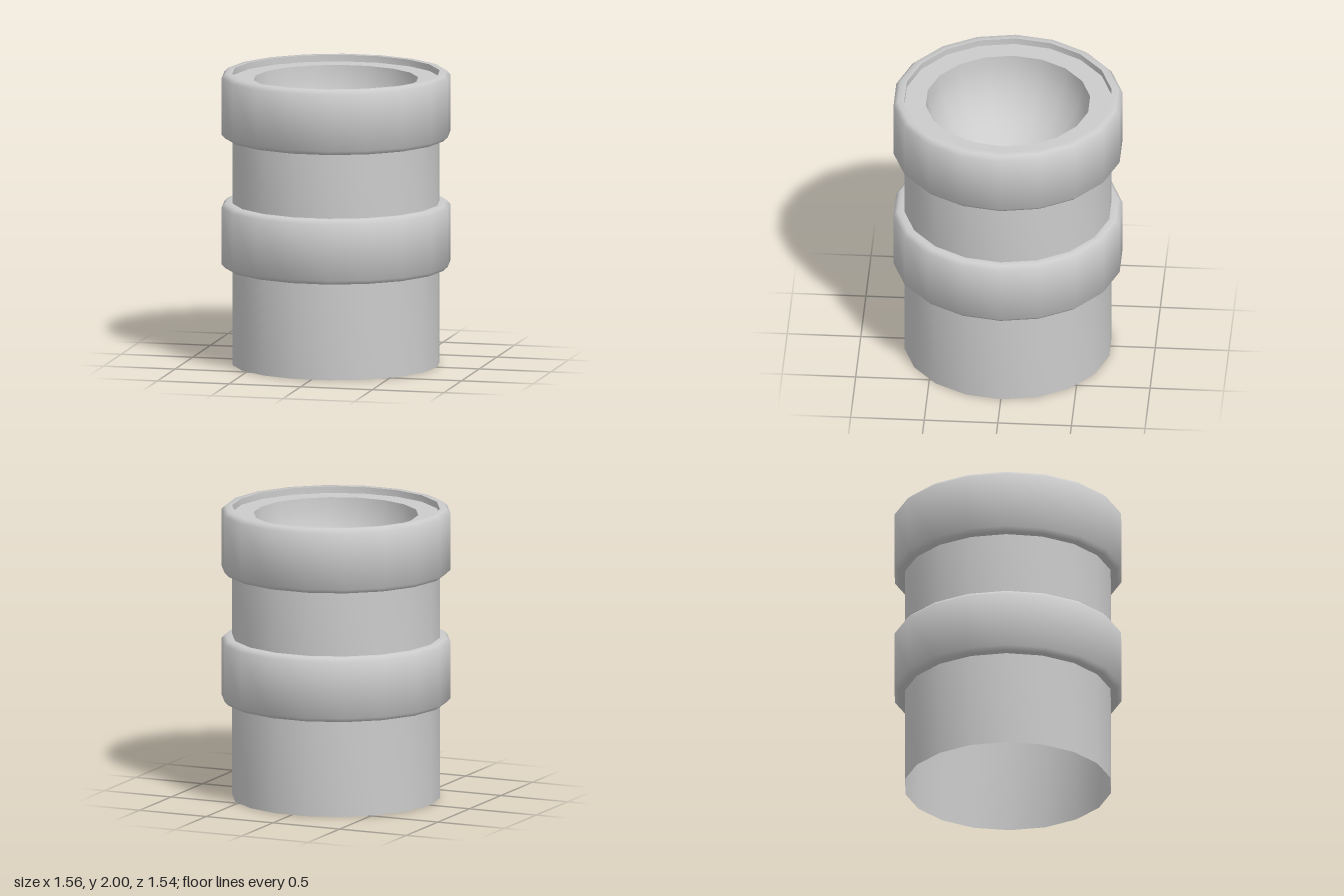
import * as THREE from 'three';
import { toCreasedNormals } from 'three/addons/utils/BufferGeometryUtils.js';

const SIDES = 18;
const TUBE = 0.707;    // tube radius
const BAND = 0.78;     // band radius
const BEVEL = 0.028;   // band edge bevel
const BOWL = 0.56;     // bowl radius
const LEDGE = 1.955;   // height of the recessed ledge

export function createModel() {
  const group = new THREE.Group();
  const material = new THREE.MeshStandardMaterial({ color: 0xcccccc, side: THREE.DoubleSide });

  // Turn a profile of [radius, height] pairs, with corners on the x axis
  const turn = (name, profile) => {
    const points = profile.map(([r, y]) => new THREE.Vector2(r, y));
    const lathe = new THREE.LatheGeometry(points, SIDES, Math.PI / 2);
    const mesh = new THREE.Mesh(toCreasedNormals(lathe, THREE.MathUtils.degToRad(50)), material);
    mesh.name = name;
    group.add(mesh);
  };

  const tube = (name, y0, y1) => turn(name, [[TUBE, y0], [TUBE, y1]]);

  // Bevelled band, hollow behind and open to the tubes
  const band = (name, y0, y1) => turn(name, [
    [TUBE, y0], [BAND - BEVEL, y0], [BAND, y0 + BEVEL],
    [BAND, y1 - BEVEL], [BAND - BEVEL, y1], [TUBE, y1],
  ]);

  tube('lowerTube', 0, 0.665);
  band('middleBand', 0.665, 1.11);
  tube('upperTube', 1.11, 1.555);
  band('topBand', 1.555, 2);

  // Short drop from the rim to the flat ledge around the bowl
  turn('ledge', [[TUBE, 2], [TUBE, LEDGE], [BOWL, LEDGE]]);

  // Round bowl sunk into the top
  const bowl = [];
  for (let i = 0; i <= 10; i++) {
    const a = (i / 10) * Math.PI / 2;
    bowl.push([i === 10 ? 0 : BOWL * Math.cos(a), LEDGE - BOWL * Math.sin(a)]);
  }
  turn('bowl', bowl);

  return group;
}
